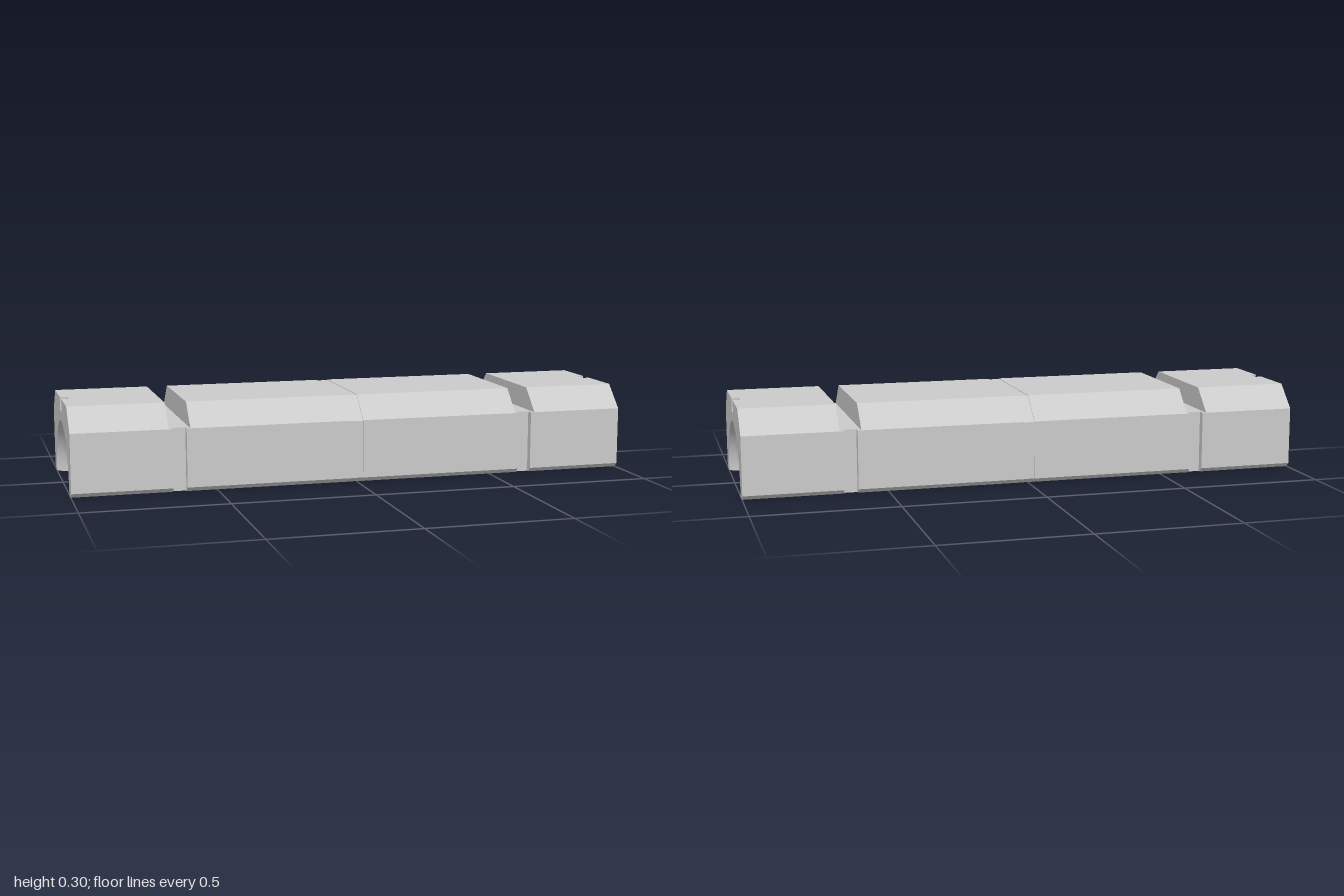
import * as THREE from 'three';
import { toCreasedNormals } from 'three/addons/utils/BufferGeometryUtils.js';

const BORE = 0.2, BORE_END = 0.215, BORE_Y = 0.005;

// Arch cross-section: half width w, height top, shoulder chamfer, foot chamfer, bore radius, optional top notch
function archShape({ w = 0.28, top = 0.3, shoulder = 0.08, foot = 0.015, bore = BORE, notch = false }) {
  const s = new THREE.Shape();
  s.moveTo(bore, 0);
  s.lineTo(w - foot, 0);
  if (foot > 0) s.lineTo(w, foot);
  s.lineTo(w, top - shoulder);
  if (shoulder > 0) s.lineTo(w - shoulder, top);
  if (notch) {
    s.lineTo(0.025, top);
    s.lineTo(0.025, 0.255);
    s.lineTo(-0.025, 0.255);
    s.lineTo(-0.025, top);
  }
  s.lineTo(-w + shoulder, top);
  if (shoulder > 0) s.lineTo(-w, top - shoulder);
  s.lineTo(-w, foot);
  if (foot > 0) s.lineTo(-w + foot, 0);
  s.lineTo(-bore, 0);
  s.lineTo(-bore, BORE_Y);
  s.absarc(0, BORE_Y, bore, Math.PI, 0, true);
  return s;
}

// Bore chamfer strip running from x0 (narrow) to x1 (wide)
function boreChamfer(x0, x1) {
  const pos = [], idx = [], n = 48;
  for (let i = 0; i <= n + 2; i++) {
    const a = Math.PI * Math.min(Math.max(i - 1, 0), n) / n;
    const leg = i === 0 || i === n + 2;
    for (const [x, r] of [[x0, BORE], [x1, BORE_END]]) {
      pos.push(x, leg ? 0 : BORE_Y + r * Math.sin(a), r * Math.cos(a));
    }
    if (i > 0) {
      const k = 2 * i;
      idx.push(k - 2, k - 1, k, k - 1, k + 1, k);
    }
  }
  const g = new THREE.BufferGeometry();
  g.setAttribute('position', new THREE.Float32BufferAttribute(pos, 3));
  g.setIndex(idx);
  g.computeVertexNormals();
  return g;
}

export function createModel() {
  const model = new THREE.Group();
  const mat = new THREE.MeshStandardMaterial({ color: 0xcccccc });
  const open = new THREE.MeshStandardMaterial({ color: 0xcccccc, side: THREE.DoubleSide });

  const add = (name, geometry, material = mat) => {
    const m = new THREE.Mesh(geometry, material);
    m.name = name;
    model.add(m);
    return m;
  };
  const section = (name, x0, x1, opts) => {
    const g = new THREE.ExtrudeGeometry(archShape(opts), { depth: x1 - x0, bevelEnabled: false, curveSegments: 48 });
    g.rotateY(Math.PI / 2);
    g.translate(x0, 0, 0);
    add(name, toCreasedNormals(g, 0.4));
  };

  // Shallow seam round the middle
  section('centreSeam', -0.02, 0.02, { w: 0.278, top: 0.298 });

  // Sections repeated towards both ends
  const parts = [
    ['mainBody', 0.02, 0.593, {}],
    ['innerGrooveFloor', 0.593, 0.606, { top: 0.22, shoulder: 0 }],
    ['grooveCore', 0.606, 0.654, { w: 0.255, top: 0.22, shoulder: 0, foot: 0 }],
    ['outerGrooveFloor', 0.654, 0.667, { top: 0.22, shoulder: 0 }],
    ['endBody', 0.667, 0.975, {}],
    ['notchedEnd', 0.975, 1, { bore: BORE_END, notch: true }],
  ];
  for (const [name, a, b, opts] of parts) {
    section(name + 'Left', a, b, opts);
    section(name + 'Right', -b, -a, opts);
  }
  add('boreChamferLeft', boreChamfer(0.975, 1), open);
  add('boreChamferRight', boreChamfer(-0.975, -1), open);

  // Very thin side panels with a stepped outline
  const outline = [[0.02, 0.016], [0.56, 0.016], [0.56, 0.05], [0.53, 0.08], [0.12, 0.08], [0.04, 0.16], [0.02, 0.16]];
  for (const sx of [1, -1]) {
    for (const sz of [1, -1]) {
      const shape = new THREE.Shape(outline.map(([x, y]) => new THREE.Vector2(sx * x, y)));
      const g = new THREE.ExtrudeGeometry(shape, { depth: 0.001, bevelEnabled: false });
      g.translate(0, 0, sz > 0 ? 0.28 : -0.281);
      add((sz > 0 ? 'front' : 'back') + 'Panel' + (sx > 0 ? 'Left' : 'Right'), g);
    }
  }
  return model;
}
